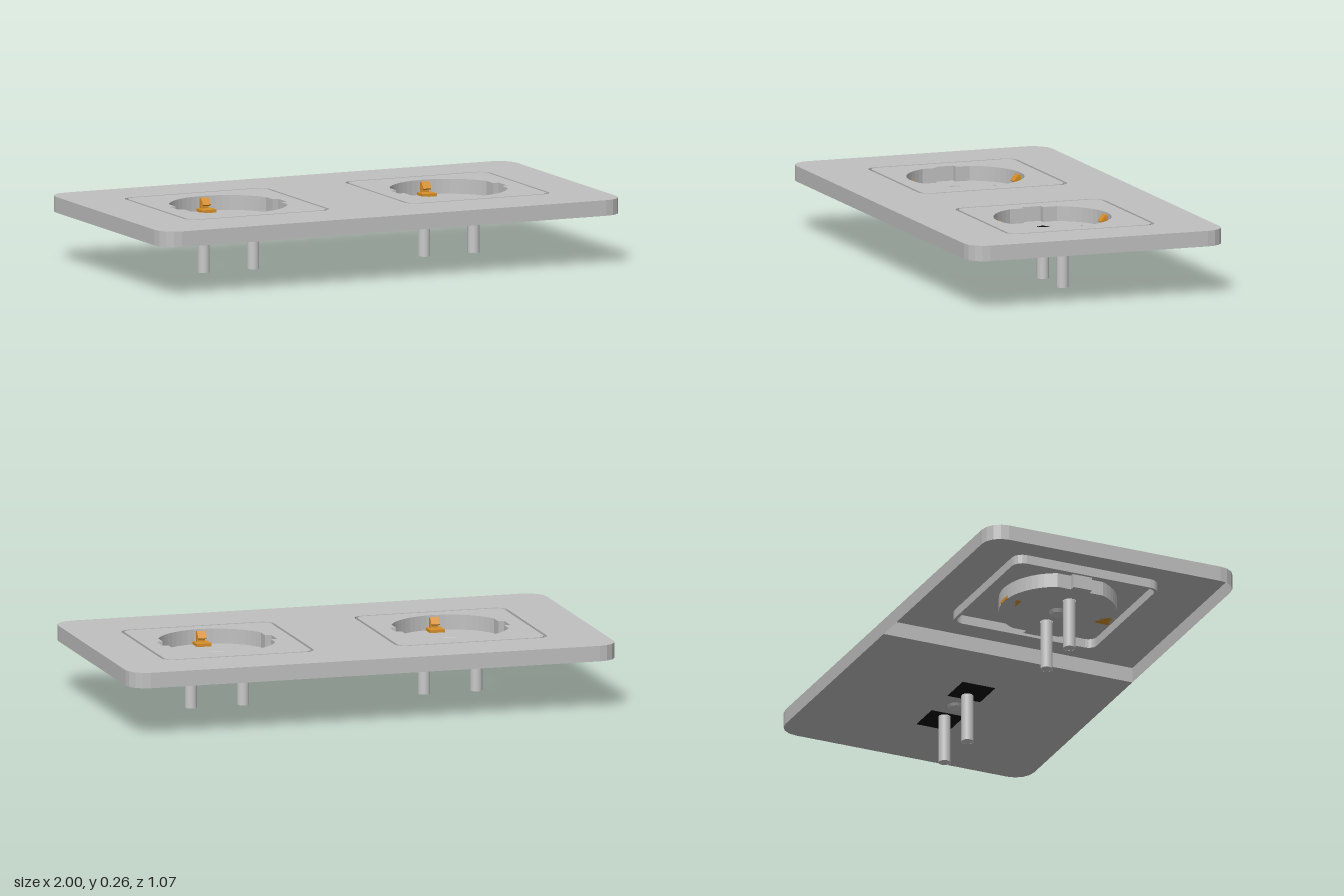
import * as THREE from 'three';

const TOP = 0.262, BASE = 0.2, FLOOR = 0.203;
const mat = (name, color, extra = {}) =>
  new THREE.MeshStandardMaterial({ name, color, side: THREE.DoubleSide, ...extra });

export function createModel() {
  const plastic = mat('grey plastic', 0xc0c0c0, { flatShading: true });
  const metal = mat('light metal', 0xc8c8c8);
  const brass = mat('brass', 0xd8902a, { flatShading: true });
  const black = mat('black insert', 0x080808);
  const model = new THREE.Group();
  model.name = 'doubleSocket';

  const add = (parent, name, geo, material, x = 0, y = 0, z = 0) => {
    const m = new THREE.Mesh(geo, material);
    m.name = name;
    m.position.set(x, y, z);
    parent.add(m);
    return m;
  };

  // Outline of a rectangle with rounded corners
  const roundedRect = (hw, hd, r, cx = 0, cz = 0, n = 4) => {
    const pts = [];
    [[1, 1], [-1, 1], [-1, -1], [1, -1]].forEach(([sx, sz], q) => {
      for (let i = 0; i <= n; i++) {
        const a = (q + i / n) * Math.PI / 2;
        pts.push(new THREE.Vector2(cx + sx * (hw - r) + r * Math.cos(a), cz + sz * (hd - r) + r * Math.sin(a)));
      }
    });
    return pts;
  };

  // Outline of the round well with flattened sides and a key notch on each
  const wellOutline = () => {
    const R = 0.232, flat = 0.21, a0 = Math.acos(flat / R), pts = [];
    for (const s of [1, -1]) {
      pts.push([flat * s, -0.04 * s], [0.235 * s, -0.04 * s], [0.235 * s, 0.04 * s], [flat * s, 0.04 * s]);
      for (let i = 0; i <= 20; i++) {
        const a = a0 + (Math.PI - 2 * a0) * i / 20;
        pts.push([R * Math.cos(a) * s, R * Math.sin(a) * s]);
      }
    }
    return pts.map(p => new THREE.Vector2(...p));
  };

  const circle = (r, cx = 0, n = 24) => Array.from({ length: n }, (_, i) =>
    new THREE.Vector2(cx + r * Math.cos(i / n * Math.PI * 2), r * Math.sin(i / n * Math.PI * 2)));

  // Horizontal face with optional holes
  const sheet = (outline, holes = []) => {
    const s = new THREE.Shape(outline);
    holes.forEach(h => s.holes.push(new THREE.Path(h)));
    return new THREE.ShapeGeometry(s).rotateX(-Math.PI / 2);
  };

  // Upright wall following an outline
  const wall = (outline, y0, y1) => {
    const pos = [];
    outline.forEach((a, i) => {
      const b = outline[(i + 1) % outline.length];
      pos.push(a.x, y0, -a.y, b.x, y0, -b.y, b.x, y1, -b.y, a.x, y0, -a.y, b.x, y1, -b.y, a.x, y1, -a.y);
    });
    const g = new THREE.BufferGeometry();
    g.setAttribute('position', new THREE.Float32BufferAttribute(pos, 3));
    g.computeVertexNormals();
    return g;
  };

  // Cover plate: top face, rim, and the closed underside of one half
  const centres = [-0.467, 0.488];
  const plate = roundedRect(1, 0.537, 0.08);
  const grooveOuter = cx => roundedRect(0.312, 0.312, 0.045, cx, 0.01);
  const grooveInner = cx => roundedRect(0.3, 0.3, 0.035, cx, 0.01);
  add(model, 'coverTop', sheet(plate, centres.map(grooveOuter)), plastic, 0, TOP);
  add(model, 'coverRim', wall(plate, BASE, TOP), plastic);
  const half = plate.filter(p => p.x > 0);
  half.push(new THREE.Vector2(0, 0.537), new THREE.Vector2(0, -0.537));
  half.sort((a, b) => Math.atan2(a.y, a.x - 0.5) - Math.atan2(b.y, b.x - 0.5));
  add(model, 'undersidePanel', sheet(half), plastic, 0, BASE);
  add(model, 'undersideEdge', new THREE.PlaneGeometry(1.074, TOP - BASE).rotateY(-Math.PI / 2),
    plastic, 0, (BASE + TOP) / 2);

  centres.forEach((cx, index) => {
    const socket = new THREE.Group();
    socket.name = index ? 'leftSocket' : 'rightSocket';
    socket.position.x = cx;
    model.add(socket);

    // Inset square with a narrow groove around it
    const outer = grooveOuter(0), inner = grooveInner(0), well = wellOutline();
    add(socket, 'insetFace', sheet(inner, [well]), plastic, 0, TOP);
    add(socket, 'grooveOuterWall', wall(outer, 0.225, TOP), plastic);
    add(socket, 'grooveInnerWall', wall(inner, 0.225, TOP), plastic);
    add(socket, 'grooveFloor', sheet(outer, [inner]), plastic, 0, 0.225);

    // Sunken well and its pierced floor
    add(socket, 'wellWall', wall(well, FLOOR, TOP), plastic);
    add(socket, 'wellFloor', sheet(well, [circle(0.026, -0.107), circle(0.026, 0.107)]), plastic, 0, FLOOR);

    for (const s of [-1, 1]) {
      // Hollow contact tube closed at the bottom
      const x = 0.107 * s;
      add(socket, 'contactTube', new THREE.CylinderGeometry(0.024, 0.024, FLOOR, 24, 1, true), metal, x, FLOOR / 2);
      add(socket, 'contactTubeEnd', new THREE.CircleGeometry(0.024, 24).rotateX(Math.PI / 2), metal, x, 0.001);
      if (index) add(socket, 'contactInsert', new THREE.BoxGeometry(0.14, 0.004, 0.14), black, 0.145 * s, 0.2);

      // Earth clip: foot, upright and bent tip
      const clip = new THREE.Group();
      clip.name = 'earthClip';
      clip.rotation.y = s > 0 ? 0 : Math.PI;
      socket.add(clip);
      add(clip, 'clipFoot', new THREE.BoxGeometry(0.06, 0.012, 0.062), brass, 0, FLOOR + 0.006, 0.202);
      add(clip, 'clipUpright', new THREE.BoxGeometry(0.034, 0.045, 0.01), brass, 0, 0.232, 0.222);
      const tip = add(clip, 'clipTip', new THREE.BoxGeometry(0.034, 0.034, 0.008), brass, 0, 0.242, 0.209);
      tip.rotation.x = 0.7;
    }

    // Slotted centre screw
    const screw = new THREE.Group();
    screw.name = 'centreScrew';
    screw.rotation.y = -0.6;
    socket.add(screw);
    add(screw, 'screwShank', new THREE.CylinderGeometry(0.038, 0.028, 0.016, 24), metal, 0, 0.198);
    for (const s of [0, Math.PI]) {
      const seg = new THREE.Shape().absarc(0, 0, 0.038, 0.12, Math.PI - 0.12, false);
      const geo = new THREE.ExtrudeGeometry(seg, { depth: 0.006, bevelEnabled: false, curveSegments: 12 });
      add(screw, 'screwHeadHalf', geo.rotateX(-Math.PI / 2).rotateY(s), metal, 0, 0.206);
    }
  });

  return model;
}
